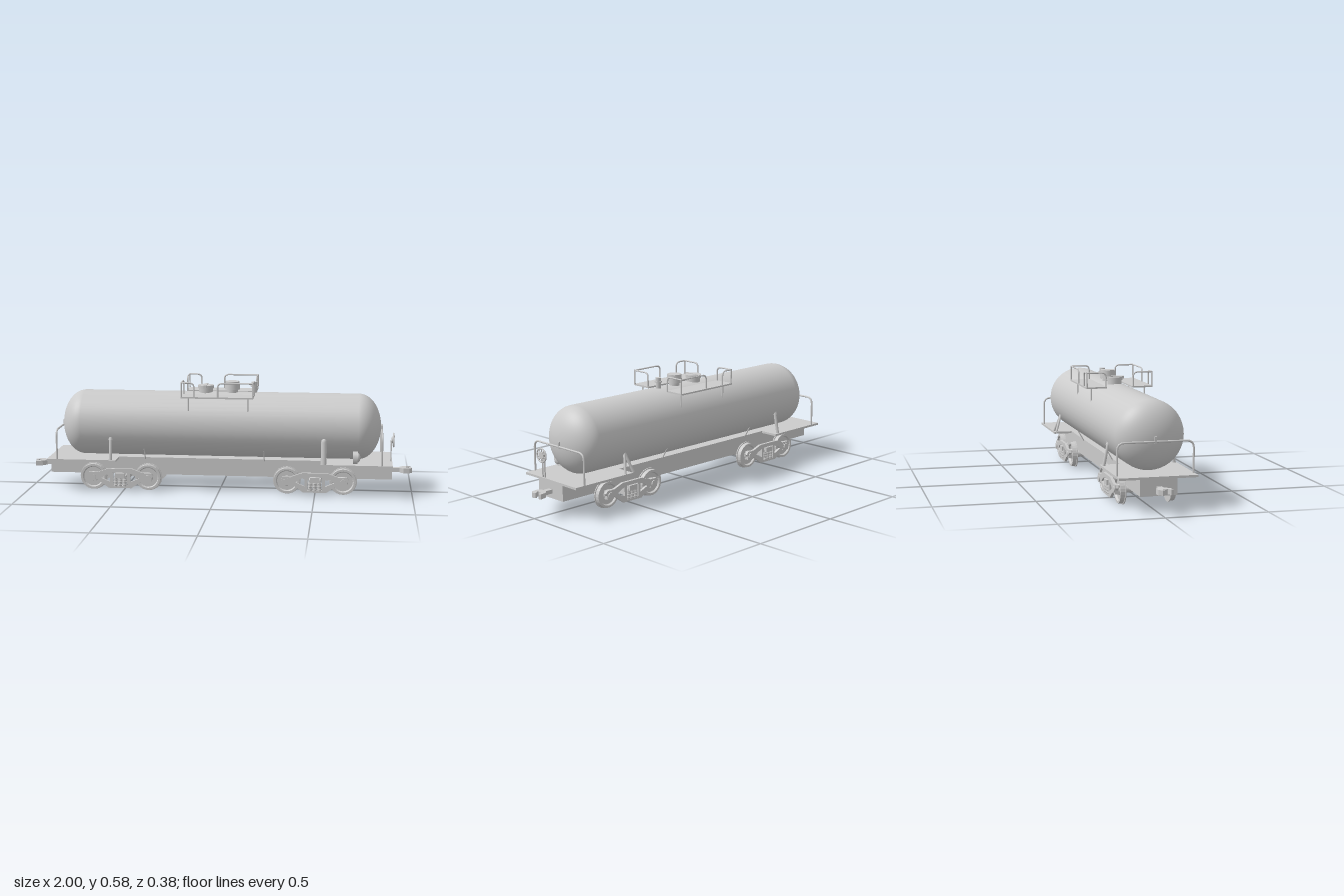
import * as THREE from 'three';

const mat = new THREE.MeshStandardMaterial({ color: 0xcccccc, side: THREE.DoubleSide });
const V = (x, y, z) => new THREE.Vector3(x, y, z);

function add(parent, name, geo, x = 0, y = 0, z = 0) {
  const m = new THREE.Mesh(geo, mat);
  m.name = name;
  m.position.set(x, y, z);
  parent.add(m);
  return m;
}
const box = (p, name, w, h, d, x, y, z) => add(p, name, new THREE.BoxGeometry(w, h, d), x, y, z);
const cyl = (p, name, r, h, x, y, z, rTop = r, seg = 20) =>
  add(p, name, new THREE.CylinderGeometry(rTop, r, h, seg), x, y, z);

// Round bar following points, with corners rounded by the given radius
function rail(p, name, pts, r = 0.004, bend = 0.025) {
  const path = new THREE.CurvePath();
  let from = pts[0];
  for (let i = 1; i < pts.length - 1; i++) {
    const c = pts[i];
    const a = c.clone().add(pts[i - 1].clone().sub(c).setLength(bend));
    const b = c.clone().add(pts[i + 1].clone().sub(c).setLength(bend));
    path.add(new THREE.LineCurve3(from, a));
    path.add(new THREE.QuadraticBezierCurve3(a, c, b));
    from = b;
  }
  path.add(new THREE.LineCurve3(from, pts[pts.length - 1]));
  return add(p, name, new THREE.TubeGeometry(path, pts.length > 2 ? 48 : 1, r, 8));
}

// Solid of revolution around the z axis from [radius, z] points
function turned(p, name, pts, x, y, z, seg = 28) {
  const g = new THREE.LatheGeometry(pts.map(([r, h]) => new THREE.Vector2(r, h)), seg).toNonIndexed();
  g.rotateX(Math.PI / 2);
  g.computeVertexNormals();
  return add(p, name, g, x, y, z);
}

function plate(points, depth, holes = []) {
  const outline = (pts) => pts.map(([x, y]) => new THREE.Vector2(x, y));
  const s = new THREE.Shape(outline(points));
  holes.forEach((h) => s.holes.push(new THREE.Path(outline(h))));
  return new THREE.ExtrudeGeometry(s, { depth, bevelEnabled: false });
}

function makeTank() {
  const g = new THREE.Group();
  g.name = 'tank';
  const R = 0.17, L = 0.835, cap = 0.115, pts = [];
  for (let i = 0; i <= 14; i++) {
    const a = (i / 14) * Math.PI / 2;
    pts.push(new THREE.Vector2(R * Math.sin(a), -(L - cap) - cap * Math.cos(a)));
  }
  for (let i = 14; i >= 0; i--) pts.push(new THREE.Vector2(pts[i].x, -pts[i].y));
  add(g, 'tankShell', new THREE.LatheGeometry(pts, 40).rotateZ(-Math.PI / 2), 0, 0.343, 0);
  return g;
}

function makeTruck() {
  const g = new THREE.Group();
  g.name = 'truck';
  box(g, 'bolster', 0.06, 0.038, 0.3, 0, 0.064, 0);
  for (const x of [-0.145, 0.145]) {
    cyl(g, 'axle', 0.018, 0.25, x, 0.074, 0).rotation.x = Math.PI / 2;
  }
  for (const s of [1, -1]) {
    const side = new THREE.Group();
    side.name = 'truckSide';
    for (const x of [-0.145, 0.145]) {
      turned(side, 'wheel', [[0, 0.11], [0.072, 0.11], [0.072, 0.115], [0.067, 0.116], [0.066, 0.137],
        [0.055, 0.137], [0.05, 0.128], [0.026, 0.128], [0.02, 0.138], [0, 0.138]], x, 0.074, 0);
      box(side, 'journalBox', 0.042, 0.042, 0.026, x, 0.076, 0.14);
      cyl(side, 'bearingCap', 0.017, 0.012, x, 0.074, 0.152).rotation.x = Math.PI / 2;
    }
    // Cast side frame with triangular windows and a central spring opening
    const win = (m) => [[m * 0.053, 0.05], [m * 0.053, 0.096], [m * 0.085, 0.083], [m * 0.1, 0.07]];
    add(side, 'sideFrame', plate([[-0.175, 0.085], [-0.165, 0.1], [-0.12, 0.1], [-0.065, 0.12], [0.065, 0.12],
      [0.12, 0.1], [0.165, 0.1], [0.175, 0.085], [0.165, 0.072], [0.12, 0.062], [0.06, 0.018], [-0.06, 0.018],
      [-0.12, 0.062], [-0.165, 0.072], [-0.175, 0.085]].slice(0, -1), 0.014,
    [win(1), win(-1), [[-0.038, 0.03], [0.038, 0.03], [0.038, 0.1], [-0.038, 0.1]]]), 0, 0, 0.138);
    box(side, 'bolsterEnd', 0.05, 0.026, 0.026, 0, 0.085, 0.146);
    for (const x of [-0.024, 0, 0.024]) {
      cyl(side, 'spring', 0.01, 0.046, x, 0.05, 0.146, 0.01, 10);
      for (const y of [0.036, 0.05, 0.064]) {
        add(side, 'springCoil', new THREE.TorusGeometry(0.01, 0.003, 5, 10).rotateX(Math.PI / 2), x, y, 0.146);
      }
    }
    side.rotation.y = s > 0 ? 0 : Math.PI;
    g.add(side);
  }
  return g;
}

// Coupler, end deck and safety rail, built for the +x end
function makeEnd() {
  const g = new THREE.Group();
  g.name = 'carEnd';
  box(g, 'endDeck', 0.365, 0.011, 0.38, 0.7125, 0.1675, 0);
  const q = 0.84;
  rail(g, 'endRail', [V(q, 0.17, 0.185), V(q, 0.327, 0.185), V(q, 0.327, -0.185), V(q, 0.17, -0.185)], 0.005, 0.035);
  box(g, 'railBracket', 0.014, 0.032, 0.008, q - 0.003, 0.335, 0);
  box(g, 'couplerShank', 0.06, 0.02, 0.026, 0.92, 0.118, 0);
  const head = plate([[0.935, -0.014], [0.955, -0.036], [0.99, -0.043], [0.994, -0.03], [0.97, -0.02], [0.968, 0.002],
    [0.982, 0.008], [0.985, -0.008], [0.995, -0.008], [1, 0.012], [0.985, 0.03], [0.955, 0.032], [0.935, 0.014]], 0.025);
  add(g, 'couplerHead', head.rotateX(Math.PI / 2), 0, 0.13, 0);
  return g;
}

// Tank-top walkway with corner rails, on the +z side
function makeWalkway() {
  const g = new THREE.Group();
  g.name = 'walkway';
  box(g, 'walkwayDeck', 0.37, 0.008, 0.108, -0.005, 0.505, 0.121);
  for (const [end, gap] of [[-0.187, -0.122], [0.18, 0]]) {
    const t = 0.581, o = 0.171;
    rail(g, 'walkwayEndRail', [V(end, 0.505, 0.072), V(end, t, 0.072), V(end, t, o)], 0.004);
    rail(g, 'walkwaySideRail', [V(end, t, o), V(gap, t, o), V(gap, 0.505, o)], 0.004);
    rail(g, 'walkwayPost', [V(end, 0.505, o), V(end, t + 0.003, o)]);
  }
  for (const x of [-0.155, 0.152]) rail(g, 'walkwaySupport', [V(x, 0.43, 0.141), V(x, 0.503, 0.141)]);
  return g;
}

function makeTopFittings() {
  const g = new THREE.Group();
  g.name = 'topFittings';
  cyl(g, 'manwayNeck', 0.036, 0.04, -0.08, 0.52, 0);
  cyl(g, 'manwayLid', 0.042, 0.016, -0.08, 0.54, 0, 0.042);
  box(g, 'manwayHinge', 0.014, 0.014, 0.1, -0.08, 0.544, 0);
  cyl(g, 'domeBase', 0.028, 0.045, 0.06, 0.525, 0);
  cyl(g, 'valveDome', 0.04, 0.042, 0.06, 0.549, 0, 0.037, 28);
  cyl(g, 'ventPipe', 0.013, 0.05, 0.175, 0.53, 0);
  cyl(g, 'ventFlange', 0.02, 0.008, 0.175, 0.547, 0);
  cyl(g, 'ventCap', 0.015, 0.018, 0.175, 0.559, 0);
  return g;
}

function makeHandbrake() {
  const g = new THREE.Group();
  g.name = 'handbrake';
  const x = 0.9, y = 0.285, z = 0.058;
  for (const dz of [-0.008, 0.008]) box(g, 'brakePost', 0.006, 0.12, 0.005, x - 0.012, 0.222, z + dz);
  add(g, 'brakeWheelRim', new THREE.TorusGeometry(0.034, 0.004, 8, 28).rotateY(Math.PI / 2), x, y, z);
  cyl(g, 'brakeHub', 0.017, 0.014, x - 0.003, y, z).rotation.z = -Math.PI / 2;
  for (let i = 0; i < 10; i++) {
    const a = (i / 10) * Math.PI * 2;
    const at = (r) => V(x, y + r * Math.cos(a), z + r * Math.sin(a));
    rail(g, 'brakeSpoke', [at(0.014), at(0.034)], 0.0025);
  }
  return g;
}

export function createModel() {
  const g = new THREE.Group();
  g.name = 'tankCar';
  g.add(makeTank(), makeTopFittings(), makeHandbrake());
  box(g, 'underframe', 1.79, 0.09, 0.18, 0, 0.128, 0);

  for (const s of [1, -1]) {
    const end = makeEnd();
    const walk = makeWalkway();
    end.rotation.y = s > 0 ? 0 : Math.PI;
    walk.scale.z = s;
    const truck = makeTruck();
    truck.position.x = s > 0 ? 0.5 : -0.515;
    g.add(end, walk, truck);

    // Braces from the tank flank to the deck, and thin tie rods to the underframe
    rail(g, 'tankBrace', [V(-0.56, 0.172, s * 0.178), V(-0.56, 0.275, s * 0.157)], 0.008);
    rail(g, 'tankBraceHook', [V(-0.56, 0.272, s * 0.157), V(-0.56, 0.29, s * 0.15)], 0.012);
    for (const x of [-0.39, 0.235]) rail(g, 'tieRod', [V(x, 0.165, s * 0.088), V(x, 0.225, s * 0.123)], 0.003);
  }

  // Broad hooked brace on the front, splayed brace on the back
  rail(g, 'hookedBrace', [V(0.545, 0.172, 0.178), V(0.545, 0.295, 0.16), V(0.545, 0.29, 0.135)], 0.015, 0.012);
  for (const x of [0.52, 0.575]) rail(g, 'splayedBrace', [V(x, 0.172, -0.182), V(0.548, 0.27, -0.148)], 0.007);

  // Small air reservoir on the deck
  cyl(g, 'airReservoir', 0.033, 0.024, 0.705, 0.208, 0.159, 0.033, 8).rotation.z = -Math.PI / 2;
  add(g, 'reservoirDome', new THREE.SphereGeometry(0.024, 16, 12).scale(0.6, 1, 1), 0.717, 0.208, 0.159);
  return g;
}
